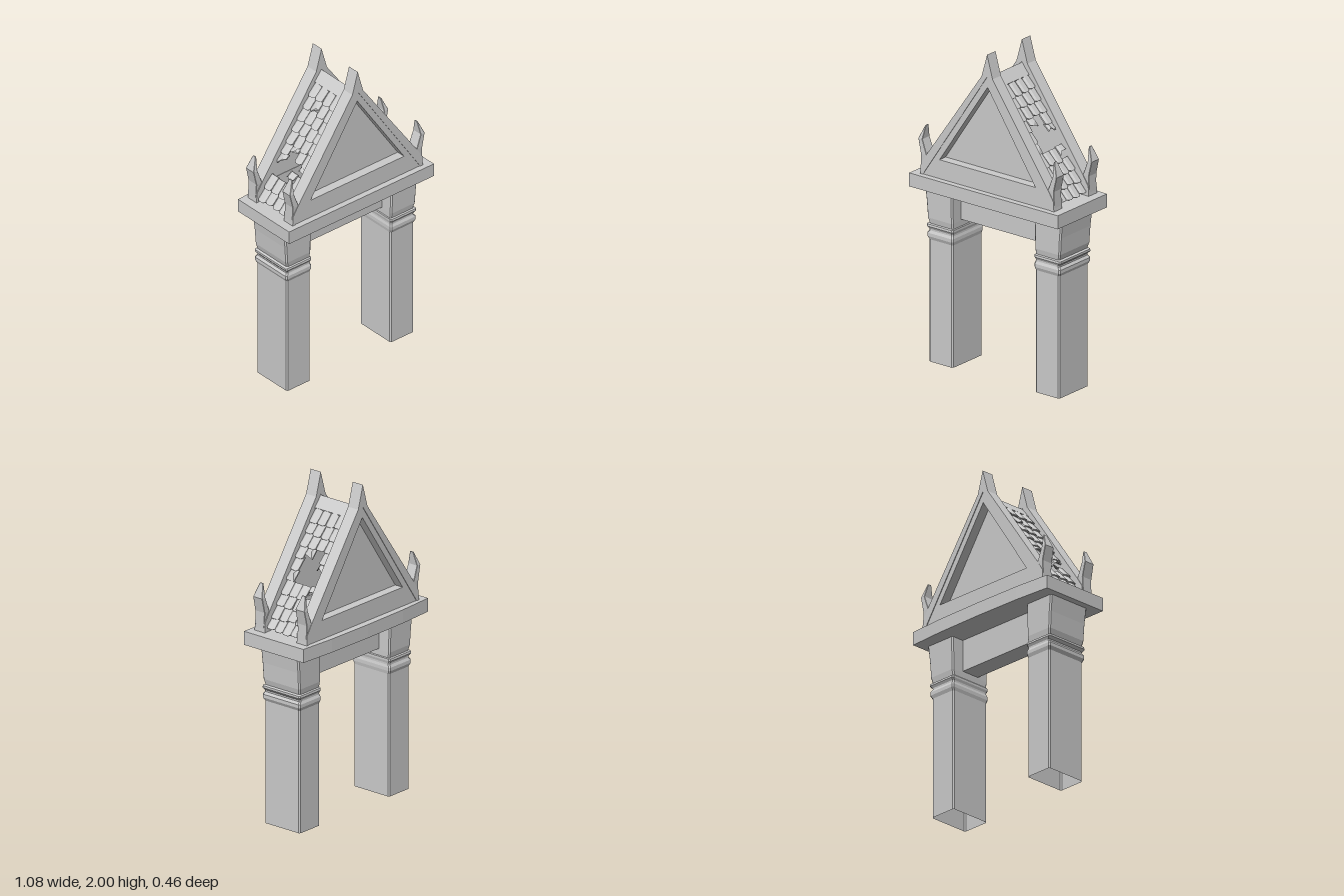
import * as THREE from 'three';
import { mergeGeometries } from 'three/addons/utils/BufferGeometryUtils.js';

const material = new THREE.MeshStandardMaterial({ color: 0xcccccc, flatShading: true, side: THREE.DoubleSide });

function addMesh(parent, name, geometry) {
  const mesh = new THREE.Mesh(geometry, material);
  mesh.name = name;
  parent.add(mesh);
  return mesh;
}

const shapeOf = (points) => new THREE.Shape(points.map(([x, y]) => new THREE.Vector2(x, y)));

function extrude(shape, z, depth) {
  return new THREE.ExtrudeGeometry(shape, { depth, bevelEnabled: false }).translate(0, 0, z);
}

// Skin through stacked rings; each row is [y, xInner, xOuter, halfDepth], corners cut by c
function stack(rows, c, capped) {
  const pos = [], index = [];
  for (const [y, a, b, h] of rows) {
    pos.push(a + c, y, h, b - c, y, h, b, y, h - c, b, y, c - h, b - c, y, -h, a + c, y, -h, a, y, c - h, a, y, h - c);
  }
  for (let r = 0; r < rows.length - 1; r++) {
    for (let i = 0; i < 8; i++) {
      const p = r * 8 + i, q = r * 8 + (i + 1) % 8;
      index.push(p, q, q + 8, p, q + 8, p + 8);
    }
  }
  if (capped) {
    const t = (rows.length - 1) * 8;
    for (let i = 1; i < 7; i++) index.push(t, t + i, t + i + 1);
  }
  const g = new THREE.BufferGeometry();
  g.setAttribute('position', new THREE.Float32BufferAttribute(pos, 3));
  g.setIndex(index);
  const flat = g.toNonIndexed();
  flat.computeVertexNormals();
  return flat;
}

let seed = 7;
const random = () => (seed = (seed * 16807) % 2147483647) / 2147483647;

// Curved tile: x across, y outward, z down the slope; broken tiles get a jagged lower end
function tileGeometry(broken) {
  const w = 0.029, t = 0.009;
  const arc = [[-w, 0], [-w * 0.5, 0.009], [w * 0.5, 0.009], [w, 0]];
  const under = arc.map(([x, y]) => [x, y - t]).reverse();
  const length = 0.086 + random() * 0.008;
  const g = extrude(shapeOf([...arc, ...under]), 0, length);
  const p = g.attributes.position;
  const jag = [random(), random(), random(), random()];
  for (let i = 0; i < p.count; i++) {
    if (p.getZ(i) < length / 2) continue;
    const x = p.getX(i), k = Math.round((x / w + 1) * 1.5);
    p.setY(i, p.getY(i) + 0.014);
    if (broken) p.setZ(i, length * (0.3 + 0.55 * jag[k]));
    else if (Math.abs(x) > w * 0.8) p.setZ(i, length - 0.01);
  }
  return g;
}

// Tiles on one slope; gaps and broken are "row,column" keys, columns run from back to front
function roofSlope(side, gaps, broken) {
  const down = new THREE.Vector3(side * 0.42, -0.62, 0).normalize();
  const out = new THREE.Vector3(side * 0.62, 0.42, 0).normalize();
  const across = new THREE.Vector3().crossVectors(out, down);
  const tiles = [];
  for (let row = 0; row < 10; row++) {
    for (let col = 0; col < 4; col++) {
      const key = row + ',' + col;
      if (gaps.includes(key)) continue;
      const g = tileGeometry(broken.includes(key));
      g.rotateY((random() - 0.5) * 0.08);
      const m = new THREE.Matrix4().makeBasis(across, out, down);
      const s = row * 0.0735 + (random() - 0.5) * 0.008;
      m.setPosition(side * 0.042 + down.x * s, 1.795 + down.y * s, -0.091 + col * 0.0605);
      tiles.push(g.applyMatrix4(m));
    }
  }
  const merged = mergeGeometries(tiles);
  merged.computeVertexNormals();
  return merged;
}

// Gable with sunk triangular panel, raking boards, spire and corner horns
function buildGable(name) {
  const gable = new THREE.Group();
  gable.name = name;

  const opening = [[-0.35, 1.275], [0, 1.8], [0.35, 1.275]];
  const frame = shapeOf([[-0.468, 1.16], [0.468, 1.16], [0, 1.865]]);
  frame.holes.push(shapeOf(opening));
  addMesh(gable, 'gableFrame', extrude(frame, 0.122, 0.07));
  addMesh(gable, 'gablePanel', extrude(shapeOf(opening), 0.124, 0.012));

  const half = [[0.04, 1.86], [0.442, 1.285], [0.483, 1.22], [0.487, 1.16], [0.468, 1.16]];
  const mirrored = half.map(([x, y]) => [-x, y]).reverse();
  addMesh(gable, 'rakingBoards', extrude(shapeOf([[0, 2], ...half, [0, 1.865], ...mirrored]), 0.12, 0.076));

  const hornRows = [[1.16, 0.455, 0.486, 0.03], [1.28, 0.442, 0.484, 0.036],
    [1.37, 0.475, 0.504, 0.034], [1.45, 0.465, 0.471, 0.012]];
  for (const side of [1, -1]) {
    const horn = addMesh(gable, 'cornerHorn', stack(hornRows, 0.002, true));
    horn.position.z = 0.159;
    if (side < 0) {
      horn.rotation.y = Math.PI;
    }
  }
  return gable;
}

export function createModel() {
  const model = new THREE.Group();
  model.name = 'roofedGateway';

  // Hollow posts with moulded necks and flared capitals
  const postRows = [[0, 0.3, 0.475, 0.133], [0.745, 0.3, 0.475, 0.133], [0.765, 0.296, 0.486, 0.141],
    [0.785, 0.296, 0.486, 0.141], [0.8, 0.3, 0.475, 0.134], [0.81, 0.3, 0.475, 0.134],
    [0.825, 0.296, 0.488, 0.142], [0.838, 0.296, 0.488, 0.14], [0.843, 0.3, 0.474, 0.132],
    [0.877, 0.299, 0.483, 0.138], [0.98, 0.299, 0.49, 0.14], [1.08, 0.299, 0.501, 0.142]];
  for (const side of [1, -1]) {
    const post = addMesh(model, side > 0 ? 'leftPost' : 'rightPost', stack(postRows, 0.008, false));
    if (side < 0) post.rotation.y = Math.PI;
  }

  // Cross beam
  const beam = addMesh(model, 'crossBeam', new THREE.BoxGeometry(0.61, 0.195, 0.12));
  beam.position.y = 0.9825;

  // Slab with a slightly bowed back edge
  const slab = shapeOf([[-0.542, -0.229], [0.542, -0.229], [0.542, 0.217], [0.31, 0.231],
    [0, 0.235], [-0.31, 0.231], [-0.542, 0.217]]);
  addMesh(model, 'slab', extrude(slab, 0, 0.082).rotateX(-Math.PI / 2).translate(0, 1.078, 0));

  // Front and back gables
  model.add(buildGable('frontGable'));
  const back = buildGable('backGable');
  back.rotation.y = Math.PI;
  model.add(back);

  // Ridge cap between the gables
  const ridge = shapeOf([[0, 1.86], [-0.052, 1.798], [-0.045, 1.782], [0, 1.83], [0.045, 1.782], [0.052, 1.798]]);
  addMesh(model, 'ridgeCap', extrude(ridge, -0.122, 0.244));

  // Tiled slopes, with missing and broken tiles
  addMesh(model, 'leftRoofTiles', roofSlope(1, ['3,1', '4,1', '4,2', '5,1', '5,2', '5,0'], ['3,2', '4,0', '6,0', '5,3']));
  addMesh(model, 'rightRoofTiles', roofSlope(-1, ['6,1', '7,1', '6,2', '7,0'], ['5,1', '7,2', '6,3', '6,0', '1,1']));

  return model;
}
